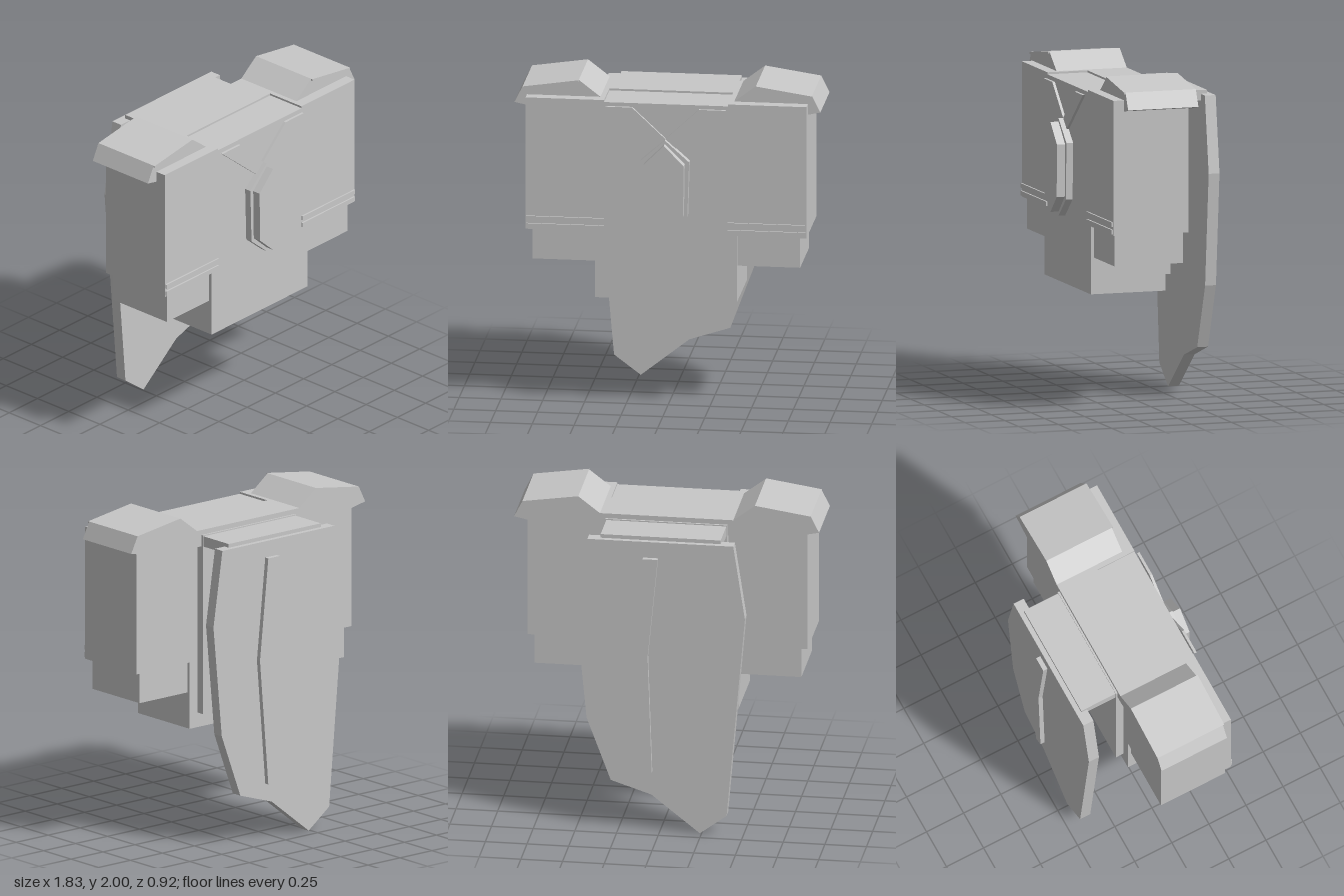
import * as THREE from 'three';

const grey = new THREE.MeshStandardMaterial({ color: 0xc8c8c8 });
grey.name = 'light grey';

export function createModel() {
  const model = new THREE.Group();
  model.name = 'armouredTorso';

  function add(name, geometry) {
    const mesh = new THREE.Mesh(geometry, grey);
    mesh.name = name;
    model.add(mesh);
    return mesh;
  }

  // Box given by its limits on each axis
  function box(name, x0, x1, y0, y1, z0, z1) {
    const mesh = add(name, new THREE.BoxGeometry(x1 - x0, y1 - y0, z1 - z0));
    mesh.position.set((x0 + x1) / 2, (y0 + y1) / 2, (z0 + z1) / 2);
  }

  // Outline in x and y, extruded from z0 to z1
  function plate(name, points, z0, z1) {
    const shape = new THREE.Shape(points.map(([x, y]) => new THREE.Vector2(x, y)));
    const geometry = new THREE.ExtrudeGeometry(shape, { depth: z1 - z0, bevelEnabled: false });
    add(name, geometry.translate(0, 0, z0));
  }

  // Chest, with a shallow recess in its top, and waist
  box('chest', -0.84, 0.84, 1.088, 1.888, -0.12, 0.35);
  box('chestTopBack', -0.84, 0.84, 1.888, 1.9, -0.12, 0.1);
  box('waist', -0.425, 0.425, 0.68, 1.088, -0.12, 0.35);

  // Parts on both sides
  for (const s of [1, -1]) {
    const side = s > 0 ? 'left' : 'right';
    const sideBox = (name, x0, x1, ...rest) =>
      box(side + name, Math.min(s * x0, s * x1), Math.max(s * x0, s * x1), ...rest);
    const sidePlate = (name, points, z0, z1) =>
      plate(side + name, points.map(([x, y]) => [s * x, y]), z0, z1);
    sideBox('ChestTopSide', 0.37, 0.84, 1.888, 1.9, 0.1, 0.35);
    sideBox('LowerBlock', 0.42, 0.8, 0.9, 1.088, -0.1, 0.33);
    sideBox('LowerStrip', 0.37, 0.835, 1.097, 1.125, 0.35, 0.36);
    sideBox('UpperStrip', 0.37, 0.835, 1.143, 1.17, 0.35, 0.36);
    sidePlate('ShoulderPad', [[0.4, 1.9], [0.53, 2], [0.865, 1.95], [0.915, 1.85],
      [0.68, 1.8], [0.55, 1.83], [0.4, 1.8]], -0.158, 0.283);
    sidePlate('PadLip', [[0.53, 2], [0.865, 1.95], [0.865, 1.938], [0.53, 1.988]], 0.283, 0.292);
  }

  // Yoke between the pads, back panel and shield arm
  box('yokeBridge', -0.4, 0.4, 1.8, 1.9, -0.158, -0.12);
  box('backPanel', -0.365, 0.365, 0.77, 1.87, -0.17, -0.12);
  box('shieldArm', -0.36, 0.36, 1.8, 1.863, -0.4, -0.165);

  // Collar and chest gem
  plate('collar', [[-0.36, 1.868], [-0.2, 1.868], [0, 1.68], [0.2, 1.868],
    [0.36, 1.868], [0, 1.57]], 0.362, 0.378);
  const gem = (name, top, x1, y1, x2, y2, bottom, z0, z1) => plate(name,
    [[0, top], [x1, y1], [x2, y2], [0, bottom], [-x2, y2], [-x1, y1]], z0, z1);
  gem('gemSetting', 1.68, 0.145, 1.55, 0.135, 1.21, 1.095, 0.365, 0.407);
  gem('gem', 1.66, 0.12, 1.54, 0.115, 1.225, 1.12, 0.407, 0.458);

  // Broken shield on the back, with its bent rib
  plate('shield', [[-0.44, 1.84], [0.435, 1.84], [0.505, 1.38], [0.44, 0.7], [0.295, 0.31],
    [0.05, 0.23], [-0.24, 0], [-0.4, 0.12], [-0.51, 1.38]], -0.43, -0.362);
  plate('shieldRib', [[0.01, 1.74], [0.1, 1.74], [0.165, 1.12], [0.1, 0.35],
    [0.045, 0.38], [0.07, 1.12]], -0.458, -0.43);

  return model;
}
